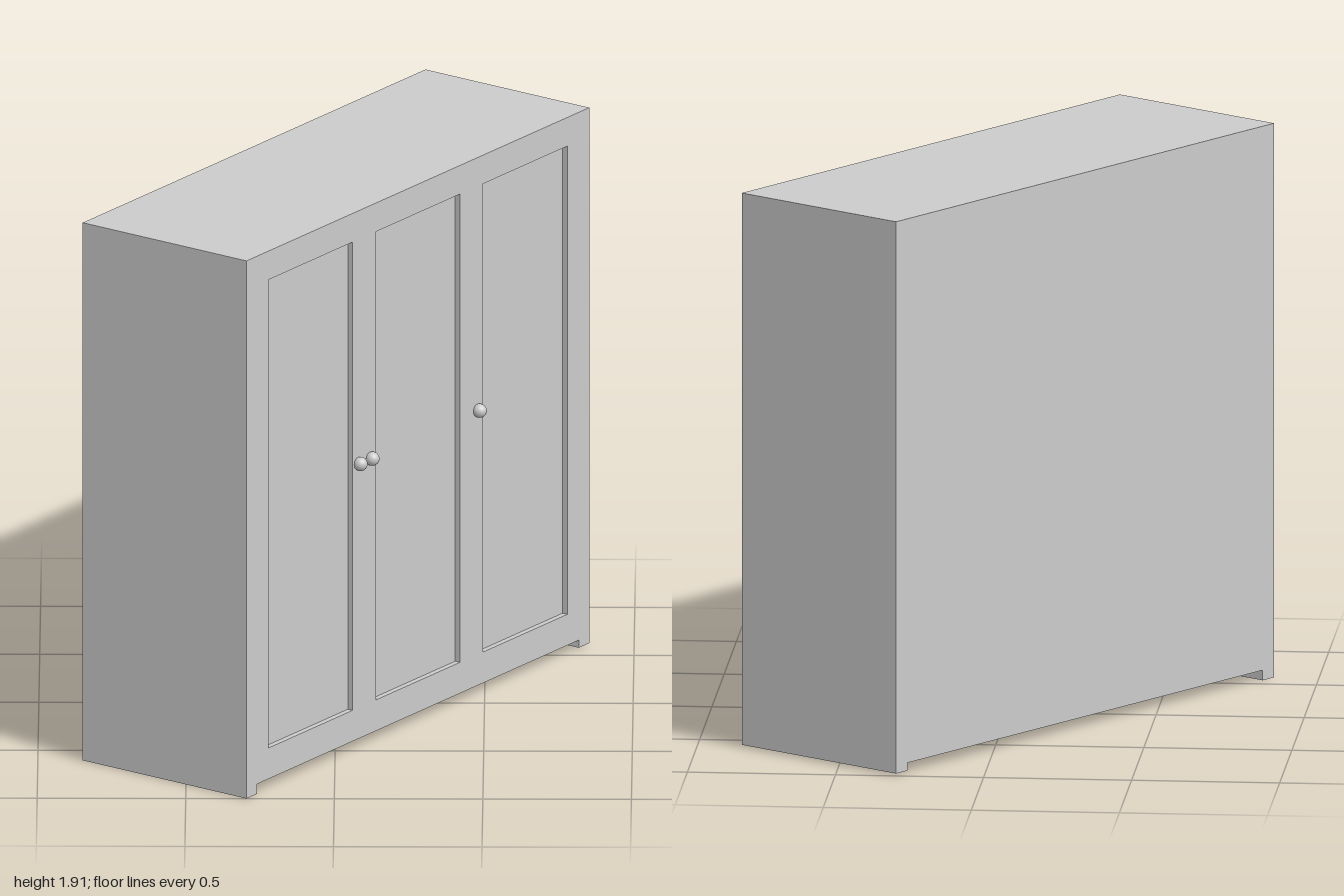
import * as THREE from 'three';

const W = 1.97, D = 0.68, TOP = 1.912, FLOOR = 0.035, RECESS = 0.02;

export function createModel() {
  const material = new THREE.MeshStandardMaterial({ color: 0xcccccc });
  const wardrobe = new THREE.Group();
  wardrobe.name = 'wardrobe';

  const add = (name, geometry, x, y, z) => {
    const mesh = new THREE.Mesh(geometry, material);
    mesh.name = name;
    mesh.position.set(x, y, z);
    wardrobe.add(mesh);
  };

  // Cabinet body behind the front frame
  const bodyDepth = D - RECESS;
  add('cabinetBody', new THREE.BoxGeometry(W, TOP - FLOOR, bodyDepth), 0, (TOP + FLOOR) / 2, -RECESS / 2);

  // Front frame with three openings that leave the door panels recessed
  const rectangle = (path, x0, y0, x1, y1) =>
    path.moveTo(x0, y0).lineTo(x1, y0).lineTo(x1, y1).lineTo(x0, y1).closePath();
  const frame = rectangle(new THREE.Shape(), -W / 2, FLOOR, W / 2, TOP);
  for (const x of [-0.617, 0, 0.617]) {
    frame.holes.push(rectangle(new THREE.Path(), x - 0.242, 0.145, x + 0.242, 1.81));
  }
  add('frontFrame', new THREE.ExtrudeGeometry(frame, { depth: RECESS, bevelEnabled: false }),
    0, 0, D / 2 - RECESS);

  // Full-depth runner feet at both ends; the one on +x stops slightly short
  const footWidth = 0.06;
  for (const [side, bottom] of [[-1, 0], [1, 0.008]]) {
    add(side < 0 ? 'rightFoot' : 'leftFoot', new THREE.BoxGeometry(footWidth, FLOOR - bottom, D),
      side * (W - footWidth) / 2, (FLOOR + bottom) / 2, 0);
  }

  // Round door knobs
  const knob = new THREE.SphereGeometry(0.024, 20, 14);
  for (const x of [-0.345, -0.277, 0.34]) add('doorKnob', knob, x, 1.015, D / 2 + 0.011);

  // The whole cabinet stands turned about the vertical axis
  wardrobe.rotation.y = 0.951;
  const model = new THREE.Group();
  model.name = 'turnedWardrobe';
  model.add(wardrobe);
  return model;
}
